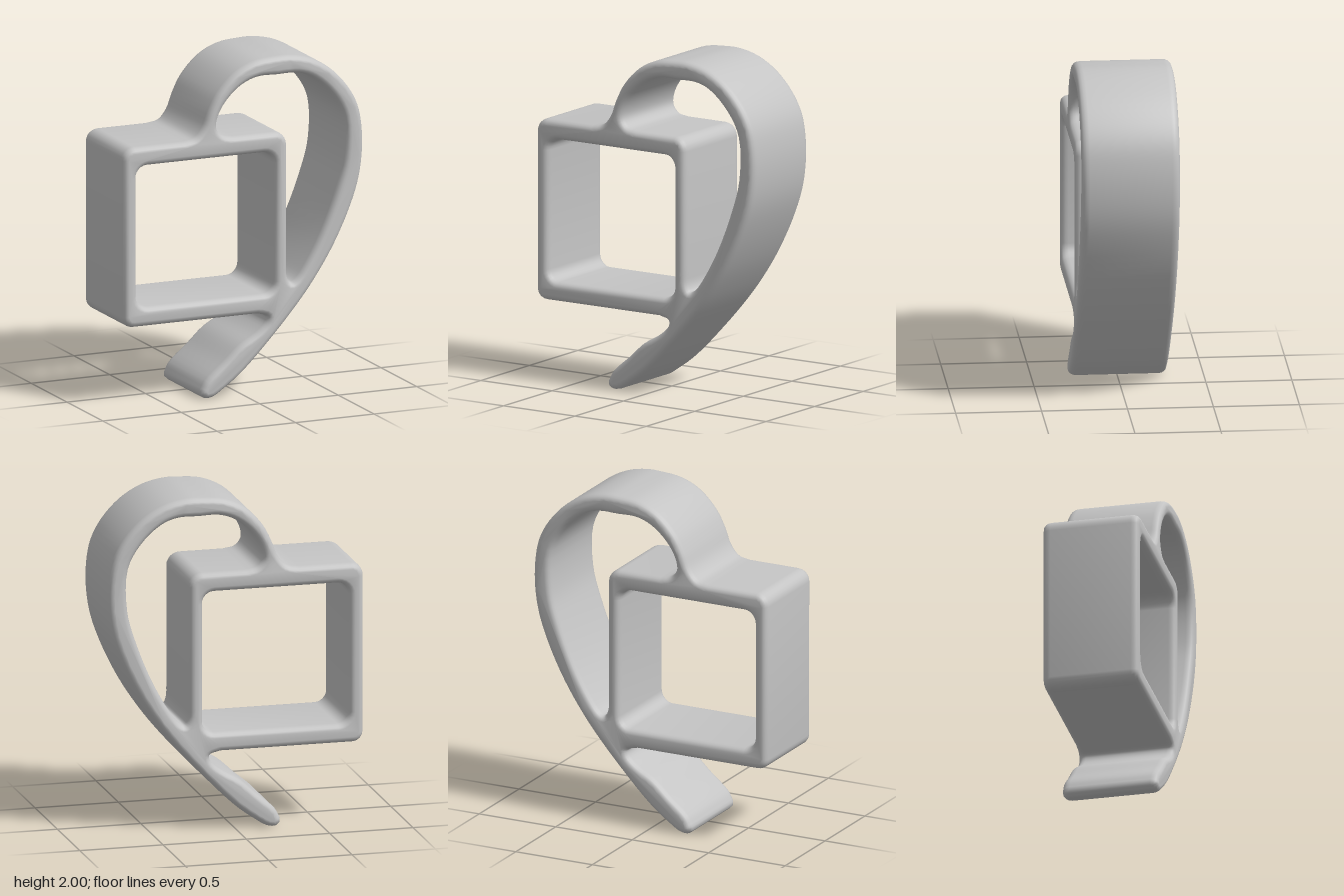
import * as THREE from 'three';
import { toCreasedNormals } from 'three/addons/utils/BufferGeometryUtils.js';

// Smooth curve through a few [x, y] points, sampled into 2D points
function smooth(pts, perSpan = 4) {
  const curve = new THREE.CatmullRomCurve3(pts.map(([x, y]) => new THREE.Vector3(x, y, 0)), false, 'centripetal');
  return curve.getPoints((pts.length - 1) * perSpan).map((p) => new THREE.Vector2(p.x, p.y));
}

// Quarter-round corner from angle a to a + 90 degrees
function corner(cx, cy, r, a, steps = 6) {
  return Array.from({ length: steps + 1 }, (_, i) => {
    const t = a + (Math.PI / 2) * (i / steps);
    return new THREE.Vector2(cx + r * Math.cos(t), cy + r * Math.sin(t));
  });
}

export function createModel() {
  const group = new THREE.Group();
  group.name = 'squareFrameWithHook';
  const grey = new THREE.MeshStandardMaterial({ color: 0xc4c4c4 });
  grey.name = 'grey';

  // Outer outline, clockwise: tail, square frame corners, then the big hook back to the tail
  const outline = new THREE.Shape([
    ...smooth([[-0.268, 0.05], [-0.235, 0.11], [-0.12, 0.21], [-0.02, 0.3], [0.09, 0.365],
      [0.15, 0.42], [0.155, 0.455], [0.09, 0.476]]),
    ...corner(-0.7, 0.54, 0.064, Math.PI).reverse(),
    ...corner(-0.69, 1.475, 0.075, Math.PI / 2).reverse(),
    ...smooth([[-0.38, 1.55], [-0.305, 1.565], [-0.255, 1.62], [-0.215, 1.72], [-0.16, 1.82],
      [-0.05, 1.93], [0.07, 1.985], [0.2, 2], [0.3, 2], [0.43, 1.97], [0.56, 1.895],
      [0.67, 1.78], [0.735, 1.66], [0.762, 1.52], [0.762, 1.36], [0.735, 1.2], [0.67, 1.02],
      [0.57, 0.82], [0.46, 0.65], [0.36, 0.52], [0.2, 0.34], [0, 0.14], [-0.12, 0.05],
      [-0.19, 0.008], [-0.24, 0.004], [-0.266, 0.025]]),
  ]);

  // Square hole, counter-clockwise
  const squareHole = new THREE.Path([
    ...corner(0.13, 1.365, 0.07, 0),
    ...corner(-0.61, 1.365, 0.07, Math.PI / 2),
    ...corner(-0.61, 0.66, 0.07, Math.PI),
    ...corner(0.13, 0.66, 0.07, Math.PI * 1.5),
  ]);

  // Opening between the hook and the frame, counter-clockwise
  const hookHole = new THREE.Path([
    ...smooth([[0.28, 0.76], [0.284, 0.68], [0.305, 0.643], [0.34, 0.66], [0.4, 0.74], [0.5, 0.92],
      [0.6, 1.17], [0.648, 1.35], [0.645, 1.6], [0.57, 1.74], [0.45, 1.85], [0.35, 1.888],
      [0.22, 1.89], [0.1, 1.89], [0, 1.855], [-0.1, 1.77], [-0.155, 1.68], [-0.165, 1.61],
      [-0.13, 1.565], [-0.06, 1.55]]),
    ...corner(0.2, 1.47, 0.08, 0).reverse(),
  ]);
  outline.holes.push(squareHole, hookHole);

  // Solid band with rounded rims
  const depth = 0.57, rim = 0.045, round = 0.033;
  const body = new THREE.ExtrudeGeometry(outline, {
    depth: depth - 2 * rim, steps: 1, bevelEnabled: true, bevelSegments: 4,
    bevelThickness: rim, bevelSize: round, bevelOffset: -round,
  });
  body.translate(0, 0, -depth / 2 + rim);
  const mesh = new THREE.Mesh(toCreasedNormals(body, 0.8), grey);
  mesh.name = 'frameAndHook';
  group.add(mesh);
  return group;
}
